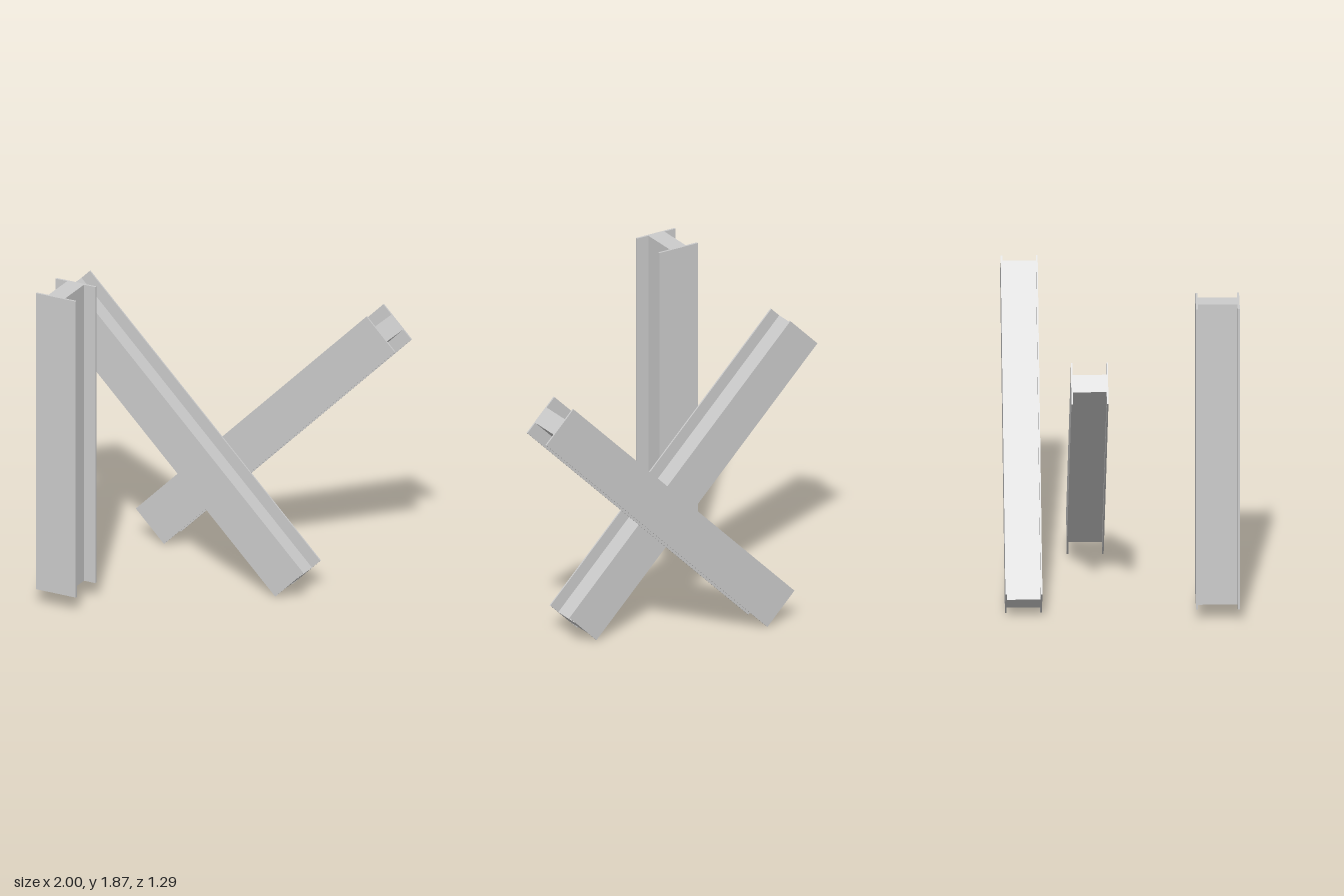
import * as THREE from 'three';

const material = new THREE.MeshStandardMaterial({ color: 0xcccccc, flatShading: true });

// H-section beam running along y, with its two flanges facing +z and -z
function makeBeam(name, length, width, depth, flange, webWidth) {
  const w = width / 2, d = depth / 2, i = d - flange, b = webWidth / 2;
  const shape = new THREE.Shape([
    [-w, -d], [w, -d], [w, -i], [b, -i], [b, i], [w, i],
    [w, d], [-w, d], [-w, i], [-b, i], [-b, -i], [-w, -i],
  ].map(([x, y]) => new THREE.Vector2(x, y)));
  const geometry = new THREE.ExtrudeGeometry(shape, { depth: length, bevelEnabled: false });
  geometry.translate(0, 0, -length / 2).rotateX(-Math.PI / 2);
  const beam = new THREE.Mesh(geometry, material);
  beam.name = name;
  return beam;
}

export function createModel() {
  const group = new THREE.Group();
  group.name = 'steelBeams';

  // Upright beam at the front
  const upright = makeBeam('uprightBeam', 1.775, 0.25, 0.242, 0.012, 0.105);
  upright.position.set(-0.535, 0.983, 0.524);
  group.add(upright);

  // Two crossing diagonal beams, one behind the other
  for (const [name, side, z] of [['frontDiagonalBeam', -1, -0.188], ['backDiagonalBeam', 1, -0.545]]) {
    const beam = makeBeam(name, 2.043, 0.25, 0.204, 0.009, 0.105);
    beam.rotation.z = -side * Math.PI / 4;
    beam.position.set(side * 0.189, 0.811, z);
    group.add(beam);
  }
  return group;
}
